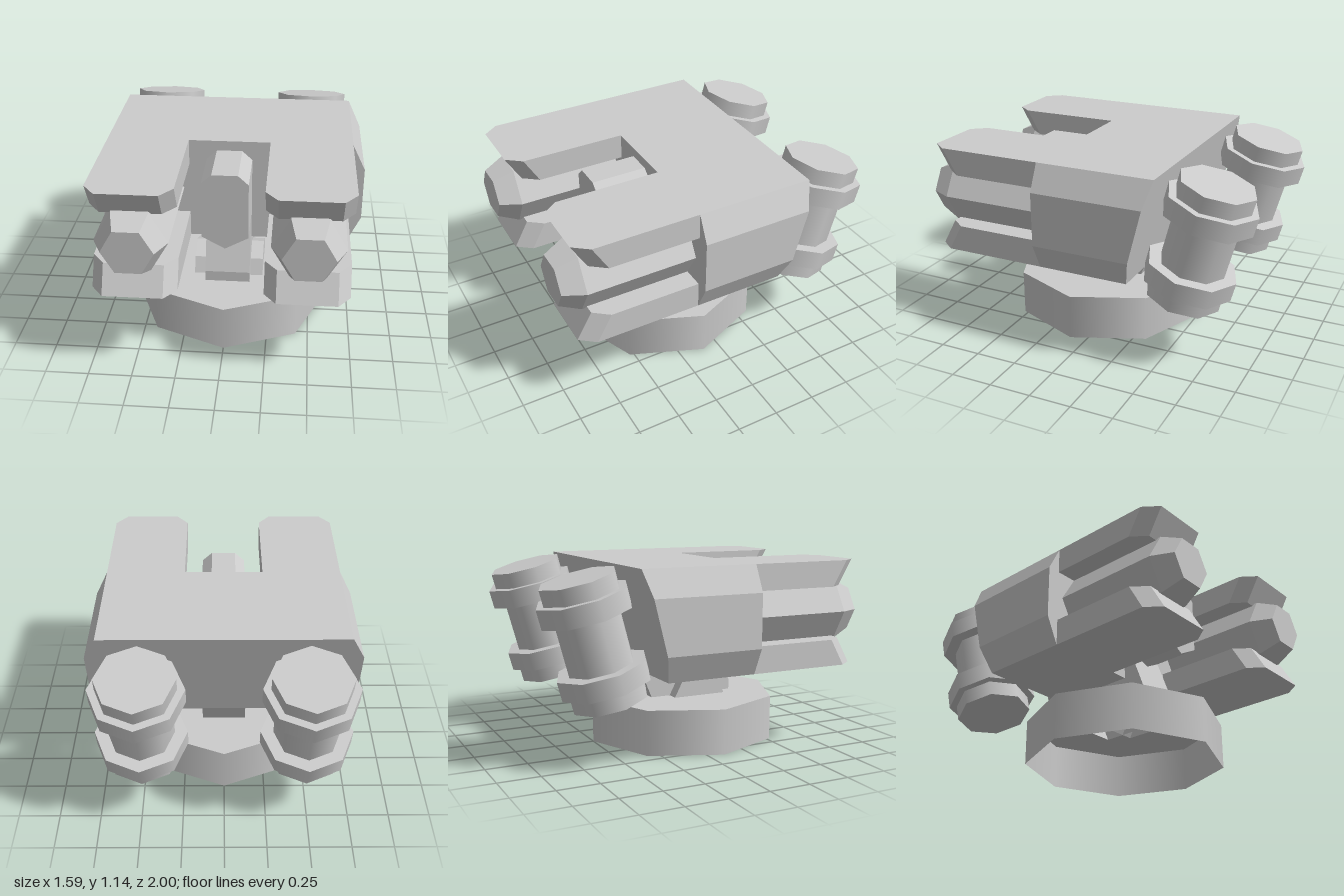
import * as THREE from 'three';

const flat = new THREE.MeshStandardMaterial({ color: 0xcccccc, flatShading: true });
const smooth = new THREE.MeshStandardMaterial({ color: 0xcccccc });
const thin = new THREE.MeshStandardMaterial({ color: 0xcccccc, side: THREE.DoubleSide });
const thinFlat = new THREE.MeshStandardMaterial({ color: 0xcccccc, flatShading: true, side: THREE.DoubleSide });

function add(parent, name, geometry, material, x = 0, y = 0, z = 0) {
  const mesh = new THREE.Mesh(geometry, material);
  mesh.name = name;
  mesh.position.set(x, y, z);
  parent.add(mesh);
  return mesh;
}

const polygon = (points) => new THREE.Shape(points.map(([x, y]) => new THREE.Vector2(x, y)));

function prism(points, depth) {
  return new THREE.ExtrudeGeometry(polygon(points), { depth, bevelEnabled: false });
}

// Moves each vertex by a rule that edits the vector in place
function reshape(geometry, rule) {
  const p = geometry.attributes.position;
  const v = new THREE.Vector3();
  for (let i = 0; i < p.count; i++) {
    rule(v.fromBufferAttribute(p, i));
    p.setXYZ(i, v.x, v.y, v.z);
  }
  geometry.computeVertexNormals();
  return geometry;
}

// Open walls through rectangular levels [y, back z, front z] of half width w
function rectWalls(w, levels) {
  const positions = [];
  const index = [];
  levels.forEach(([y, back, front], k) => {
    positions.push(-w, y, front, w, y, front, w, y, back, -w, y, back);
    if (k === 0) return;
    for (let i = 0; i < 4; i++) {
      const a = (k - 1) * 4 + i, b = (k - 1) * 4 + (i + 1) % 4;
      index.push(a, b, b + 4, a, b + 4, a + 4);
    }
  });
  const g = new THREE.BufferGeometry();
  g.setAttribute('position', new THREE.Float32BufferAttribute(positions, 3));
  g.setIndex(index);
  const result = g.toNonIndexed();
  result.computeVertexNormals();
  return result;
}

// Six-sided bar along z with corners at left and right
function hexBar(front, back, length) {
  return new THREE.CylinderGeometry(front, back, length, 6).rotateY(Math.PI / 6).rotateX(Math.PI / 2);
}

// Forked plate with cut corners; its end leans back towards the barrel
function prongGeometry(upper) {
  const plan = [[-0.24, 0.2], [0.24, 0.2], [0.24, 0.85], [0.17, 0.94], [-0.17, 0.94], [-0.24, 0.85]];
  const g = prism(plan, upper ? 0.155 : 0.16).rotateX(Math.PI / 2);
  return reshape(g, (v) => {
    const inner = upper ? v.y < -0.08 : v.y > -0.08;
    if (v.z > 0.5 && inner) v.z -= 0.09;
  });
}

function createBase(parent) {
  // Hollow octagonal foot, open below
  add(parent, 'baseWall', new THREE.CylinderGeometry(0.6, 0.6, 0.275, 8, 1, true), thin, 0, 0.1375, 0.1);
  const rim = [];
  for (let i = 0; i < 8; i++) {
    const a = i * Math.PI / 4;
    rim.push([0.6 * Math.sin(a), 0.1 + 0.6 * Math.cos(a)]);
  }
  const top = polygon(rim);
  // Cross-shaped opening under the pedestal and bracket
  top.holes.push(polygon([
    [-0.135, -0.16], [0.135, -0.16], [0.135, -0.035], [0.21, -0.035], [0.21, 0.31], [0.135, 0.31],
    [0.135, 0.39], [-0.135, 0.39], [-0.135, 0.31], [-0.21, 0.31], [-0.21, -0.035], [-0.135, -0.035],
  ]));
  const cap = new THREE.ShapeGeometry(top).rotateX(-Math.PI / 2).scale(1, 1, -1);
  // The mirror flips the winding, so turn the corners round again
  const idx = cap.index;
  for (let i = 0; i < idx.count; i += 3) {
    const b = idx.getX(i + 1);
    idx.setX(i + 1, idx.getX(i + 2));
    idx.setX(i + 2, b);
  }
  cap.computeVertexNormals();
  add(parent, 'baseTop', cap, thin, 0, 0.275, 0);

  // Leaning pedestal and pivot bracket
  add(parent, 'pedestal', rectWalls(0.135, [
    [0.275, -0.16, 0.39], [0.34, -0.187, 0.39], [0.5, -0.25, 0.33], [0.8, -0.36, 0.215],
  ]), thinFlat);
  add(parent, 'pivotBracket', rectWalls(0.21, [
    [0.275, -0.035, 0.31], [0.37, 0.015, 0.27], [0.425, 0.145, 0.145],
  ]), thinFlat);
  for (const s of [-1, 1]) {
    const side = prism([[-0.31, 0.275], [-0.27, 0.37], [-0.145, 0.425], [-0.015, 0.37], [0.035, 0.275]], 0.002);
    add(parent, 'bracketCheek', side.rotateY(Math.PI / 2), flat, s * 0.209 - 0.001, 0, 0);
  }
}

function createHull(parent) {
  // Main body with cut sides and a leaning back
  const section = [
    [-0.72, 0.5], [0.72, 0.5], [0.796, 0.66], [0.796, 0.98],
    [0.72, 1.135], [-0.72, 1.135], [-0.796, 0.98], [-0.796, 0.66],
  ];
  const body = reshape(prism(section, 1), (v) => {
    v.z = v.z > 0.5 ? 0.22 : -0.33 - 0.16 * (v.y - 0.5) / 0.635;
  });
  add(parent, 'hull', body, flat);

  // Central arm in the notch
  const arm = [[0, 0.605], [0.135, 0.68], [0.135, 1.02], [0.075, 1.075], [-0.075, 1.075], [-0.135, 1.02], [-0.135, 0.68]];
  add(parent, 'centralArm', prism(arm, 0.4), flat, 0, 0, 0.155);
}

// Octagonal canister with two clamp rings
function createCanister() {
  const canister = new THREE.Group();
  canister.name = 'canister';
  const drum = (name, r, h, y) => add(canister, name, new THREE.CylinderGeometry(r, r, h, 8), smooth, 0, y, 0);
  drum('canisterBody', 0.195, 0.5, 0);
  for (const s of [-1, 1]) {
    drum('canisterEnd', 0.225, 0.15, s * 0.288);
    drum('clampRing', 0.27, 0.115, s * 0.21);
  }
  canister.rotation.x = -THREE.MathUtils.degToRad(15);
  return canister;
}

export function createModel() {
  const model = new THREE.Group();
  model.name = 'turret';
  createBase(model);
  createHull(model);
  for (const s of [-1, 1]) {
    const x = s * 0.48;
    add(model, 'upperProng', prongGeometry(true), flat, x, 1.135, 0);
    add(model, 'lowerProng', prongGeometry(false), flat, x, 0.66, 0);
    add(model, 'barrel', hexBar(0.205, 0.205, 0.675), flat, x, 0.82, 0.5375);
    add(model, 'barrelTip', hexBar(0.145, 0.205, 0.125), flat, x, 0.82, 0.9375);
    const canister = createCanister();
    canister.position.set(x, 0.727, -0.67);
    model.add(canister);
  }
  return model;
}
